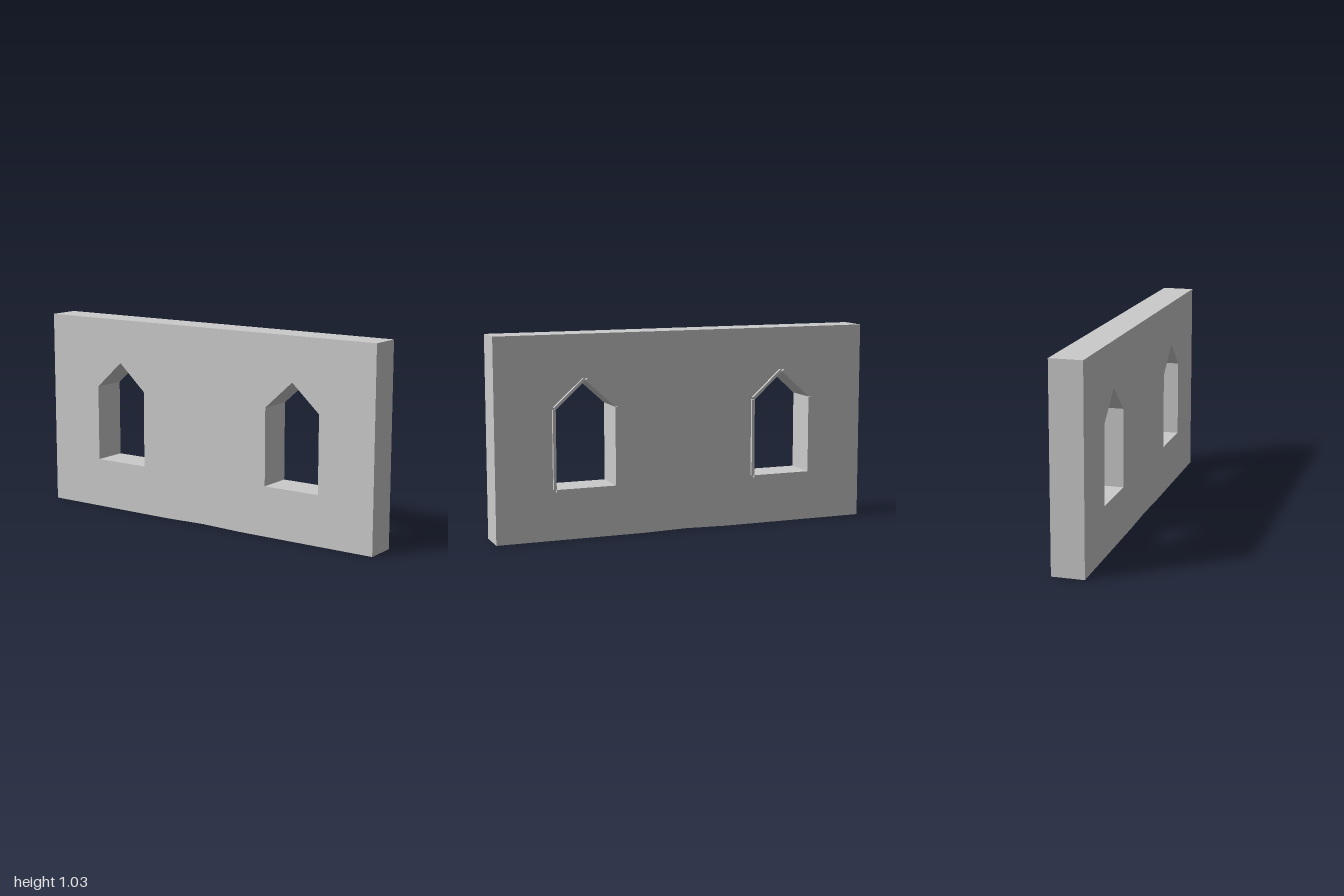
import * as THREE from 'three';

const BACK = -0.075, FRONT = 0.09, TRIM = 0.015;

// Pointed window outline, counter-clockwise, centred on x = cx
const windowPoints = (cx) => [
  [-0.155, 0.26], [0.155, 0.26], [0.155, 0.66], [0, 0.8], [-0.155, 0.66],
].map(([x, y]) => new THREE.Vector2(cx + x, y));

export function createModel() {
  const group = new THREE.Group();
  const material = new THREE.MeshStandardMaterial({ color: 0xcccccc, flatShading: true });
  const centres = { right: -0.537, left: 0.537 };

  // Wall slab with a very shallow peaked relief in the middle of its underside
  const outline = [[-1, 0], [-0.23, 0], [0, 0.005], [0.23, 0], [1, 0], [1, 1.03], [-1, 1.03]];
  const shape = new THREE.Shape(outline.map(([x, y]) => new THREE.Vector2(x, y)));
  for (const cx of Object.values(centres)) {
    shape.holes.push(new THREE.Path(windowPoints(cx).reverse()));
  }
  const wallGeometry = new THREE.ExtrudeGeometry(shape, { depth: FRONT - BACK, bevelEnabled: false });
  wallGeometry.translate(0, 0, BACK);
  const wall = new THREE.Mesh(wallGeometry, material);
  wall.name = 'wall';
  group.add(wall);

  // Window trim on the back: one straight strip along each edge of the opening
  for (const [side, cx] of Object.entries(centres)) {
    const trim = new THREE.Group();
    trim.name = `${side}WindowTrim`;
    const points = windowPoints(cx);
    points.forEach((a, i) => {
      const b = points[(i + 1) % points.length];
      const edge = b.clone().sub(a);
      const outward = new THREE.Vector2(edge.y, -edge.x).normalize();
      const strip = new THREE.Mesh(new THREE.BoxGeometry(edge.length(), TRIM, TRIM), material);
      const mid = a.clone().add(b).multiplyScalar(0.5).addScaledVector(outward, TRIM / 2);
      strip.position.set(mid.x, mid.y, BACK - TRIM / 2);
      strip.rotation.z = edge.angle();
      strip.name = ['sill', 'leftJamb', 'leftRake', 'rightRake', 'rightJamb'][i];
      trim.add(strip);
    });
    group.add(trim);
  }
  return group;
}
